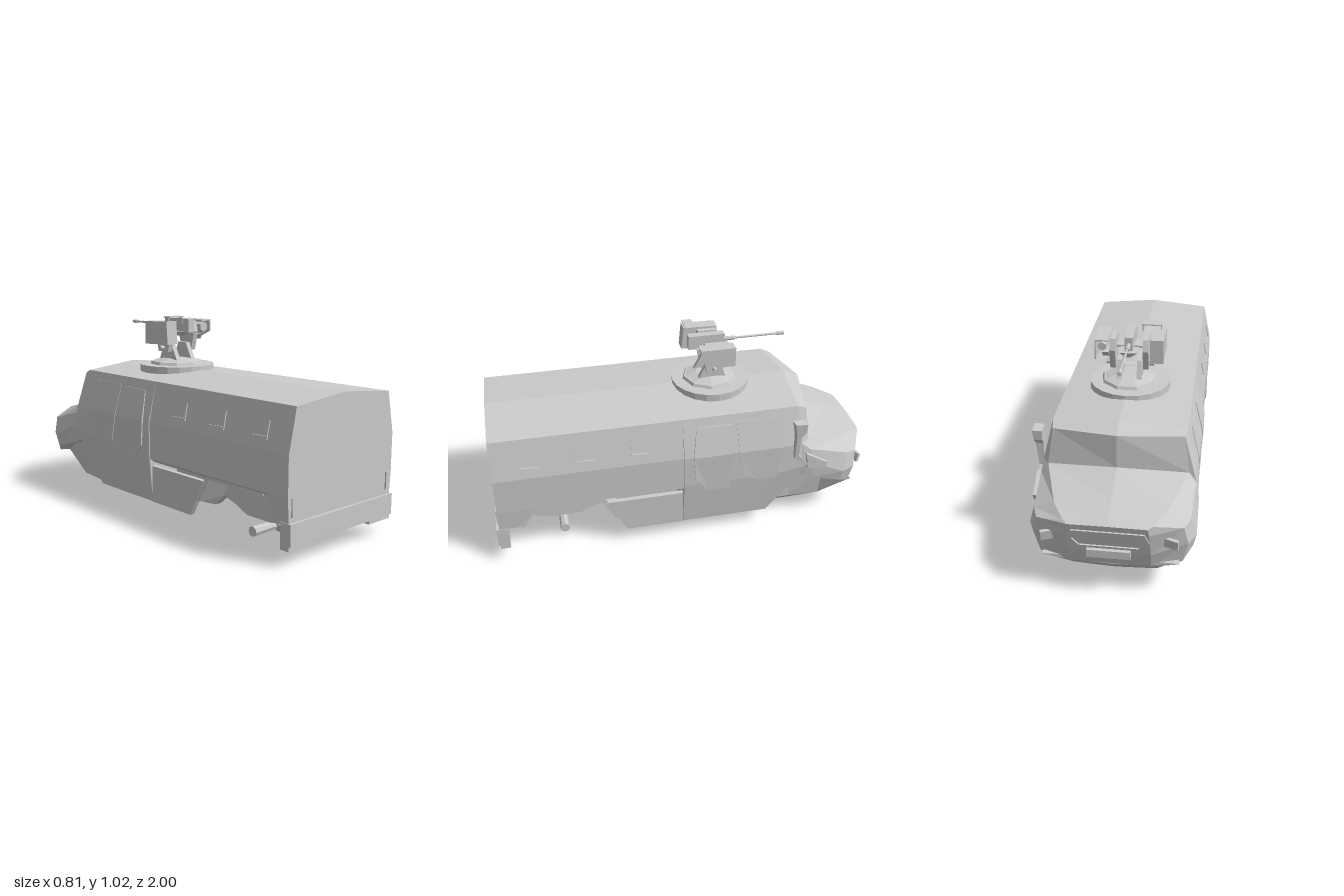
import * as THREE from 'three';

const mat = new THREE.MeshStandardMaterial({ color: 0xcccccc, flatShading: true, side: THREE.DoubleSide });

function add(parent, name, geo, x = 0, y = 0, z = 0) {
  const m = new THREE.Mesh(geo, mat);
  m.name = name;
  m.position.set(x, y, z);
  parent.add(m);
  return m;
}

// box given by its limits on each axis
const box = (p, name, [x0, x1], [y0, y1], [z0, z1]) =>
  add(p, name, new THREE.BoxGeometry(x1 - x0, y1 - y0, z1 - z0), (x0 + x1) / 2, (y0 + y1) / 2, (z0 + z1) / 2);

// skin over mirrored half sections [x, y, z], running from rear (+z) to nose (-z)
function loft(halves) {
  const rings = halves.map(h => [...h, ...h.slice(1, -1).reverse().map(([x, y, z]) => [-x, y, z])]);
  const n = rings[0].length, half = halves[0].length, pos = [];
  const quad = (a, b, c, d) => pos.push(...a, ...b, ...c, ...a, ...c, ...d);
  for (let i = 0; i + 1 < rings.length; i++)
    for (let j = 0; j < n; j++) {
      const k = (j + 1) % n;
      quad(rings[i][j], rings[i + 1][j], rings[i + 1][k], rings[i][k]);
    }
  const first = rings[0], last = rings[rings.length - 1];
  for (let i = 0; i + 1 < half; i++) {
    const m = (n - i) % n, m2 = (n - i - 1) % n;
    quad(first[i], first[i + 1], first[m2], first[m]);
    quad(last[m], last[m2], last[i + 1], last[i]);
  }
  const g = new THREE.BufferGeometry();
  g.setAttribute('position', new THREE.Float32BufferAttribute(pos, 3));
  g.computeVertexNormals();
  return g;
}

const polygon = pts => pts.map(p => new THREE.Vector2(...p));

// side profile of [z, y] points, extruded along x from x0 to x1
function slab(pts, x0, x1) {
  const s = new THREE.Shape(polygon(pts.map(([z, y]) => [-z, y])));
  return new THREE.ExtrudeGeometry(s, { depth: x1 - x0, bevelEnabled: false })
    .rotateY(Math.PI / 2).translate(x0, 0, 0);
}

// move the x of every vertex by a rule
function shiftX(g, rule) {
  const p = g.attributes.position;
  for (let i = 0; i < p.count; i++) p.setX(i, rule(p.getX(i), p.getY(i)));
  g.computeVertexNormals();
  return g;
}

// thin panel bent onto the side wall, whose half width depends on height
const wall = (y, w) => y > 0.5 ? w - (y - 0.5) * (w - 0.32) / 0.205 : y > 0.33 ? w : w - (0.33 - y) * 0.11;
const wallPanel = (pts, w, thick) => shiftX(slab(pts, -0.004, thick), (x, y) => x + wall(y, w));

function buildHull(g) {
  // straight part of the body; bottom width and height vary along the length
  const bay = (z, wb, yb, mid, ym) =>
    [[0, yb, z], [wb, yb, z], [mid, ym, z], [mid, 0.5, z], [0.32, 0.705, z], [0, 0.735, z]];
  add(g, 'bodyShell', loft([
    bay(0.985, 0.357, 0.2, 0.364, 0.31), bay(0.88, 0.357, 0.2, 0.364, 0.31),
    bay(0.8, 0.335, 0.288, 0.364, 0.31), bay(0.03, 0.335, 0.288, 0.364, 0.31),
    bay(0.028, 0.347, 0.08, 0.369, 0.33), bay(-0.43, 0.347, 0.08, 0.374, 0.33),
    // cab front, over the wheel arch
    [[0, 0.3, -0.6], [0.37, 0.305, -0.6], [0.38, 0.36, -0.6], [0.37, 0.5, -0.57], [0.318, 0.705, -0.575], [0, 0.735, -0.6]],
    // windscreen top
    [[0, 0.29, -0.63], [0.375, 0.295, -0.63], [0.382, 0.37, -0.63], [0.366, 0.5, -0.6], [0.31, 0.685, -0.625], [0, 0.7, -0.685]],
    // windscreen foot
    [[0, 0.28, -0.67], [0.38, 0.28, -0.67], [0.385, 0.38, -0.66], [0.37, 0.46, -0.65], [0.335, 0.505, -0.645], [0, 0.535, -0.69]],
    // bonnet and wings
    [[0, 0.23, -0.83], [0.375, 0.235, -0.83], [0.388, 0.3, -0.84], [0.36, 0.4, -0.86], [0.26, 0.45, -0.88], [0, 0.478, -0.86]],
    [[0, 0.18, -0.91], [0.33, 0.19, -0.9], [0.355, 0.3, -0.912], [0.335, 0.39, -0.92], [0.2, 0.425, -0.975], [0, 0.433, -0.985]],
    // nose
    [[0, 0.17, -0.93], [0.19, 0.17, -0.93], [0.19, 0.25, -0.953], [0.185, 0.38, -0.985], [0.18, 0.42, -0.995], [0, 0.425, -1]],
  ]));

  // belly below the cab, narrowing between the front wheels and rising to the nose
  const belly = (z, wb, yb, w, y, wt, yt) => [[0, yb, z], [wb, yb + 0.01, z], [w, y, z], [wt, yt, z], [0, yt + 0.01, z]];
  add(g, 'belly', loft([
    belly(0.028, 0.215, 0.022, 0.238, 0.06, 0.345, 0.082), belly(-0.42, 0.215, 0.022, 0.238, 0.06, 0.345, 0.082),
    belly(-0.44, 0.215, 0.022, 0.238, 0.06, 0.25, 0.3), belly(-0.6, 0.215, 0.022, 0.238, 0.06, 0.25, 0.31),
    belly(-0.78, 0.2, 0.025, 0.23, 0.05, 0.27, 0.27), belly(-0.925, 0.18, 0.16, 0.25, 0.175, 0.32, 0.19),
  ]));
}

function buildSides(g) {
  for (const s of [1, -1]) {
    const side = new THREE.Group();
    side.name = s > 0 ? 'leftSide' : 'rightSide';
    side.scale.x = s;
    g.add(side);
    add(side, 'skirt', slab([[0.43, 0.27], [0.33, 0.08], [0.03, 0.08], [0.03, 0.27]], 0.325, 0.35));
    add(side, 'archLiner', slab([[0.89, 0.2], [0.81, 0.3], [0.44, 0.3], [0.36, 0.16], [0.39, 0.16],
      [0.46, 0.283], [0.79, 0.283], [0.86, 0.18]], 0.18, 0.345));
    // wavy chassis rail
    add(side, 'chassisRail', slab([[0.94, 0.2], [0.88, 0.17], [0.83, 0.16], [0.79, 0.115], [0.72, 0.1], [0.56, 0.1],
      [0.47, 0.14], [0.4, 0.16], [0.33, 0.1], [0.03, 0.08], [0.03, 0.3], [0.94, 0.3]], 0.145, 0.185));
    add(side, 'rearDoor', wallPanel([[-0.02, 0.5], [-0.03, 0.37], [-0.1, 0.28], [-0.215, 0.29], [-0.225, 0.5],
      [-0.225, 0.655], [-0.04, 0.655]], 0.373, 0.004));
    add(side, 'frontDoor', wallPanel([[-0.26, 0.5], [-0.29, 0.36], [-0.36, 0.31], [-0.47, 0.32], [-0.5, 0.5],
      [-0.48, 0.665], [-0.25, 0.665]], 0.374, 0.002));
    // bracket shaped slits
    for (const z of [0.85, 0.575, 0.3])
      add(side, 'slit', wallPanel([[z, 0.63], [z, 0.545], [z - 0.1, 0.55], [z - 0.1, 0.555], [z - 0.008, 0.56]], 0.364, 0.006));
    box(side, 'rearLight', [0.32, 0.342], [0.225, 0.31], [0.97, 0.992]);
    box(side, 'bumperFlap', [0.2, 0.36], [0.075, 0.1], [0.94, 0.99]);
    // headlamp on the chamfered nose corner
    const lamp = box(side, 'headlamp', [-0.045, 0.045], [-0.025, 0.025], [-0.008, 0.008]);
    lamp.position.set(0.27, 0.32, -0.942);
    lamp.rotation.set(-0.15, 0.32, 0);
  }
  box(g, 'rearBumper', [-0.36, 0.36], [0.097, 0.2], [0.94, 1]);
  box(g, 'winch', [-0.1, 0.1], [0.235, 0.275], [-0.98, -0.94]);

  // six sided grille surround, leaning with the nose
  const rim = (w, h) => polygon([[-w, 0], [-w + 0.03, -h], [w - 0.03, -h], [w, 0], [w - 0.02, h], [-w + 0.02, h]]);
  const surround = new THREE.Shape(rim(0.185, 0.055));
  surround.holes.push(new THREE.Path(rim(0.165, 0.042)));
  add(g, 'grilleSurround', new THREE.ExtrudeGeometry(surround, { depth: 0.014, bevelEnabled: false }).translate(0, 0, -0.007),
    0, 0.335, -0.974).rotation.x = -0.24;

  // upright mirror with its tapering arm, on the left only
  const mirror = slab([[-0.535, 0.655], [-0.6, 0.65], [-0.598, 0.6], [-0.575, 0.57], [-0.575, 0.45], [-0.63, 0.385],
    [-0.6, 0.375], [-0.555, 0.43], [-0.55, 0.58]], 0, 1);
  add(g, 'mirror', shiftX(mirror, (x, y) => 0.37 + x * (0.025 + Math.max(0, y - 0.43) * 0.1)));
  add(g, 'wingMirror', slab([[-0.62, 0.45], [-0.74, 0.38], [-0.72, 0.34], [-0.63, 0.36]], 0.36, 0.396));
}

function buildRunningGear(g) {
  for (const s of [1, -1]) {
    const axle = new THREE.CylinderGeometry(0.026, 0.02, 0.2, 8).rotateZ(-s * Math.PI / 2);
    add(g, 'rearAxle', axle, s * 0.138, 0.052, 0.65);
  }
  // differential, thick in the middle
  const drum = [[0, -0.1], [0.035, -0.09], [0.075, -0.035], [0.075, 0.035], [0.035, 0.09], [0, 0.1]];
  const diff = new THREE.LatheGeometry(polygon(drum), 8).rotateZ(Math.PI / 2).rotateX(Math.PI / 8);
  add(g, 'rearDifferential', diff, 0, 0.07, 0.65);
  add(g, 'frontDifferential', new THREE.CylinderGeometry(0.08, 0.05, 0.035, 8), 0, 0.02, -0.67);
}

function buildTurret(g) {
  const t = new THREE.Group();
  t.name = 'turret';
  t.position.z = -0.19;
  g.add(t);
  add(t, 'turretRing', new THREE.CylinderGeometry(0.203, 0.203, 0.045, 20), 0, 0.732, 0);
  add(t, 'turretPlate', new THREE.CylinderGeometry(0.14, 0.147, 0.014, 9), 0, 0.762, 0);
  add(t, 'turretCone', new THREE.CylinderGeometry(0.075, 0.135, 0.018, 9), 0, 0.777, 0);
  for (const s of [1, -1]) {
    const a = s * 0.051, b = s * 0.082;
    add(t, 'pedestalPlate', slab([[0.075, 0.78], [-0.07, 0.78], [-0.035, 0.868], [0.03, 0.868]], a - 0.013, a + 0.013));
    add(t, 'cradleArm', slab([[0.04, 0.825], [-0.04, 0.825], [-0.07, 0.93], [-0.05, 0.985], [0.05, 0.985], [0.065, 0.93]],
      b - 0.014, b + 0.014));
    add(t, 'pivotBolt', new THREE.CylinderGeometry(0.014, 0.014, 0.025, 6).rotateZ(Math.PI / 2), s * 0.108, 0.845, 0);
  }
  // ammunition box and the frame above it
  add(t, 'ammoBox', slab([[0.13, 0.875], [-0.06, 0.868], [-0.06, 0.99], [0.12, 0.995]], -0.17, -0.103));
  box(t, 'boxFrameTop', [-0.15, -0.05], [1.014, 1.02], [0.07, 0.12]);
  for (const x of [-0.145, -0.053]) box(t, 'boxFramePost', [x - 0.003, x + 0.003], [0.98, 1.016], [0.08, 0.11]);
  // sight housing: hood over a lens barrel
  box(t, 'sightHood', [0.1, 0.165], [0.985, 0.992], [-0.09, 0.09]);
  add(t, 'sightOuterWall', slab([[0.09, 0.99], [0.09, 0.93], [0, 0.89], [-0.09, 0.89], [-0.09, 0.99]], 0.159, 0.165));
  add(t, 'sightLens', new THREE.CylinderGeometry(0.028, 0.022, 0.15, 6).rotateX(Math.PI / 2), 0.13, 0.952, 0);
  add(t, 'sightBracket', slab([[0.04, 0.885], [-0.03, 0.885], [-0.05, 0.912], [0.06, 0.912]], 0.1, 0.135));
  // gun
  box(t, 'receiver', [-0.02, 0.02], [0.93, 1.003], [-0.07, 0.12]);
  const tray = slab([[0.05, 0.908], [-0.09, 0.908], [-0.1, 0.935], [0.08, 0.935]], -1, 1);
  add(t, 'gunTray', shiftX(tray, (x, y) => x * (y > 0.92 ? 0.045 : 0.01)));
  box(t, 'cradleCrossbar', [-0.08, 0.08], [0.93, 0.942], [-0.02, 0.02]);
  const rod = (name, r, z0, z1) =>
    add(t, name, new THREE.CylinderGeometry(r, r, z1 - z0, 8).rotateX(Math.PI / 2), 0, 0.965, (z0 + z1) / 2);
  rod('barrelSleeve', 0.011, -0.13, -0.06);
  rod('barrel', 0.006, -0.37, -0.1);
  rod('muzzle', 0.01, -0.395, -0.36);
}

export function createModel() {
  const root = new THREE.Group();
  root.name = 'armouredTruck';
  const g = new THREE.Group();
  g.name = 'vehicle';
  g.position.x = -0.015;
  root.add(g);
  buildHull(g);
  buildSides(g);
  buildRunningGear(g);
  buildTurret(g);
  return root;
}
